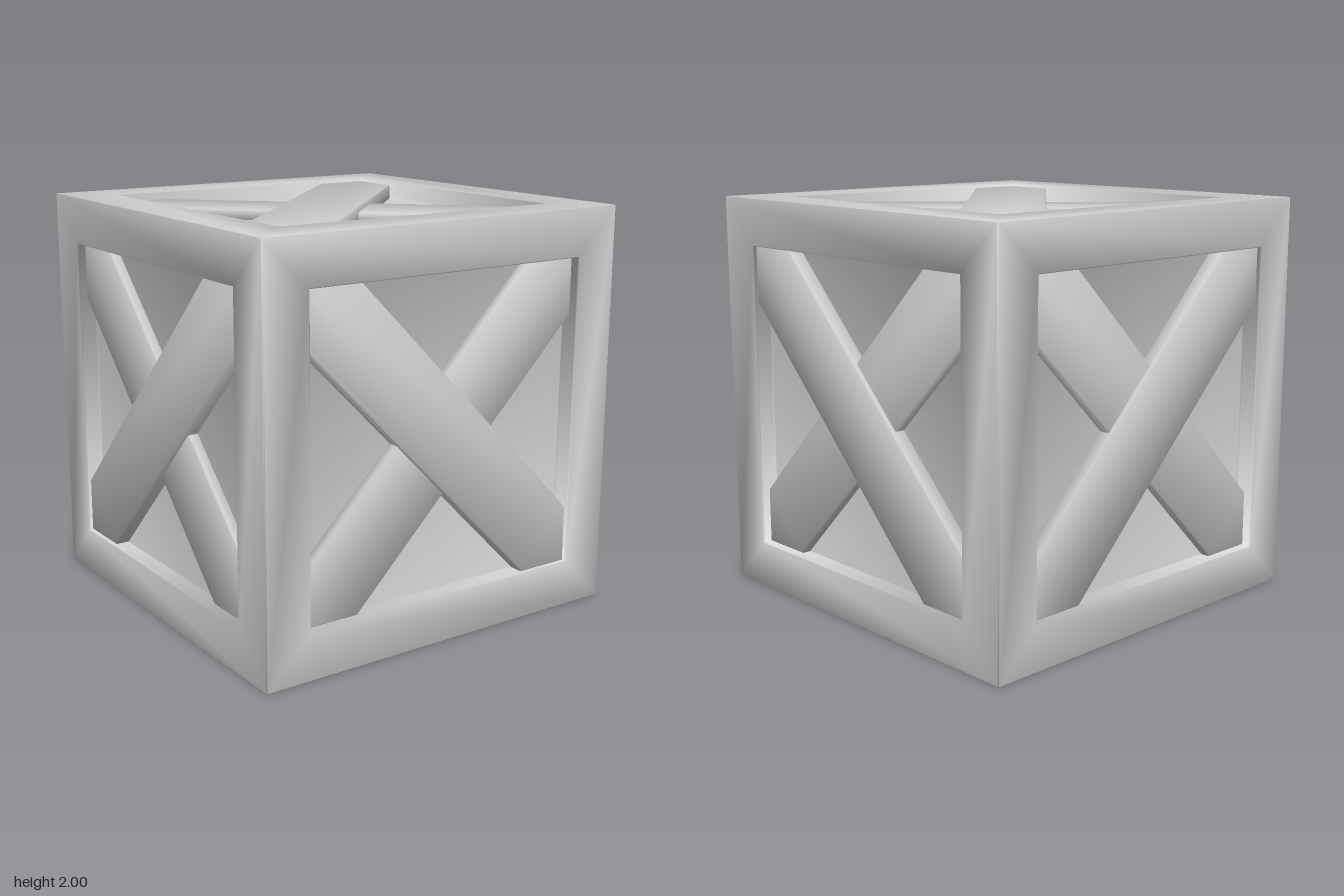
import * as THREE from 'three';
import { mergeGeometries } from 'three/addons/utils/BufferGeometryUtils.js';

const WINDOW = 0.765;   // half size of each recessed window
const PANEL = 0.91;     // distance of the panels from the centre
const B = 0.006;        // small edge bevel

// Soft shading: every corner gets the even average of the distinct faces that meet there
function soften(geometry) {
  const g = geometry.index ? geometry.toNonIndexed() : geometry;
  const pos = g.attributes.position;
  const corner = (i) => new THREE.Vector3().fromBufferAttribute(pos, i);
  const key = (p) => p.toArray().map((v) => Math.round(v * 5000)).join();
  const shared = new Map();
  for (let i = 0; i < pos.count; i += 3) {
    const [a, b, c] = [corner(i), corner(i + 1), corner(i + 2)];
    const n = b.clone().sub(a).cross(c.clone().sub(a));
    if (n.length() < 1e-9) continue;
    n.normalize();
    for (const p of [a, b, c]) {
      const k = key(p);
      if (!shared.has(k)) shared.set(k, []);
      const list = shared.get(k);
      if (!list.some((m) => m.dot(n) > 0.999)) list.push(n);
    }
  }
  const normals = [];
  for (let i = 0; i < pos.count; i++) {
    const sum = new THREE.Vector3();
    (shared.get(key(corner(i))) || []).forEach((n) => sum.add(n));
    normals.push(...sum.normalize().toArray());
  }
  g.setAttribute('normal', new THREE.Float32BufferAttribute(normals, 3));
  return g;
}

// One side of the box facing +z: bevelled rim, window wall and recessed panel
function sideGeometry() {
  const profile = [
    [1 - B / 2, 1 - B / 2], [1 - B, 1], [WINDOW + B, 1], [WINDOW, 1 - B],
    [WINDOW, PANEL + B], [WINDOW - B, PANEL], [0, PANEL],
  ].map(([half, y]) => new THREE.Vector2(half * Math.SQRT2, y));
  return new THREE.LatheGeometry(profile, 4, Math.PI / 4).rotateX(Math.PI / 2);
}

// Diagonal plank with ends cut to fit the window corners; slope -1 falls to the right
function plankGeometry(slope, top) {
  const e = WINDOW - 0.001, c = 0.486;
  const points = [[-e, e], [-e, c], [c, -e], [e, -e], [e, -c], [-c, e]]
    .map(([x, y]) => new THREE.Vector2(x, -slope * y));
  const base = PANEL - 0.005;
  const g = new THREE.ExtrudeGeometry(new THREE.Shape(points), {
    depth: top - base - 2 * B, bevelEnabled: true, bevelSegments: 1,
    bevelSize: B, bevelOffset: -B, bevelThickness: B,
  });
  return soften(g.translate(0, 0, base + B));
}

export function createModel() {
  const crate = new THREE.Group();
  crate.name = 'crate';
  const material = new THREE.MeshStandardMaterial({ color: 0xcccccc });
  const Q = Math.PI / 2;

  // Turn of each side about x and y, and slope of its outer plank
  const sides = [
    ['front', 0, 0, -1], ['back', 0, 2 * Q, 1],
    ['left', 0, Q, -1], ['right', 0, -Q, 1],
    ['top', -Q, 0, 1], ['bottom', Q, 0, -1],
  ];

  // Frame and panels as one softly shaded shell
  const shell = sides.map(([, rx, ry]) => sideGeometry().rotateX(rx).rotateY(ry));
  const frame = new THREE.Mesh(soften(mergeGeometries(shell)), material);
  frame.name = 'frame';
  frame.position.y = 1;
  crate.add(frame);

  // Crossed planks on every side
  for (const [name, rx, ry, slope] of sides) {
    const cross = new THREE.Group();
    cross.name = name + 'Cross';
    cross.rotation.set(rx, ry, 0);
    cross.position.y = 1;
    const outer = new THREE.Mesh(plankGeometry(slope, 0.985), material);
    outer.name = 'outerPlank';
    const inner = new THREE.Mesh(plankGeometry(-slope, 0.96), material);
    inner.name = 'innerPlank';
    cross.add(outer, inner);
    crate.add(cross);
  }
  return crate;
}
